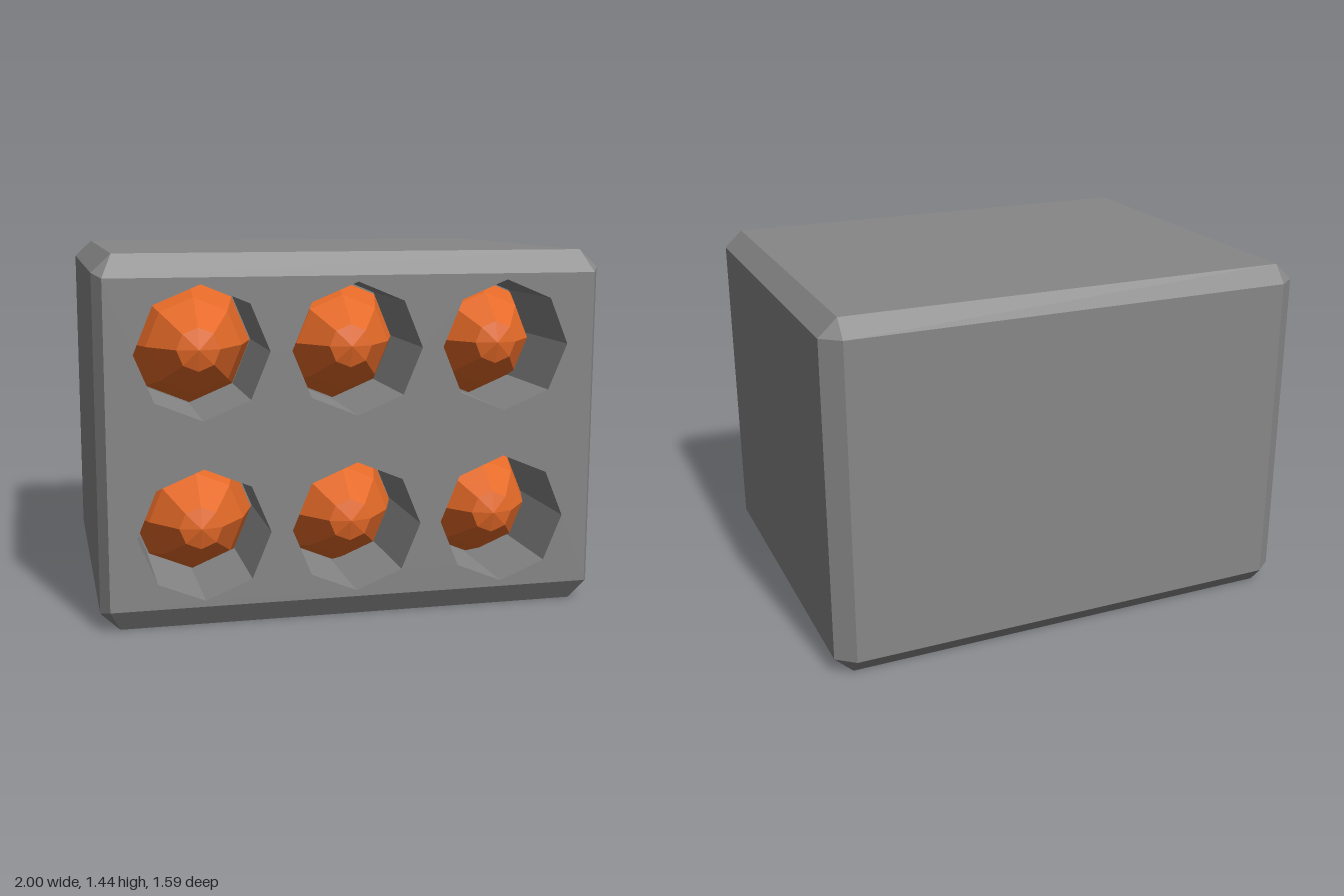
import * as THREE from 'three';

const grey = new THREE.MeshStandardMaterial({ color: 0x878787, flatShading: true });
const inner = new THREE.MeshStandardMaterial({ color: 0x878787, flatShading: true, side: THREE.DoubleSide });
const orange = new THREE.MeshStandardMaterial({ color: 0xe56a28, flatShading: true });

const MID_Y = 0.72, FRONT_Z = 0.793, BEVEL_Z = 0.733;
const HOLE_R = 0.258, HOLE_DEPTH = 0.45;

function add(parent, name, geometry, material, x = 0, y = 0, z = 0) {
  const mesh = new THREE.Mesh(geometry, material);
  mesh.name = name;
  mesh.position.set(x, y, z);
  parent.add(mesh);
}

// Rectangle with cut corners, counter-clockwise seen from the front
function ring(hx, hy, cx, cy, z) {
  return [
    [hx - cx, -hy], [hx, cy - hy], [hx, hy - cy], [hx - cx, hy],
    [cx - hx, hy], [-hx, hy - cy], [-hx, cy - hy], [cx - hx, -hy],
  ].map(([x, y]) => [x, y, z]);
}

// Skin between cross-sections running from back to front
function loft(rings) {
  const n = rings[0].length, index = [];
  for (let i = 0; i < rings.length - 1; i++) {
    for (let j = 0; j < n; j++) {
      const k = (j + 1) % n;
      const a = i * n + j, b = i * n + k, c = b + n, d = a + n;
      index.push(a, b, c, a, c, d);
    }
  }
  const g = new THREE.BufferGeometry();
  g.setAttribute('position', new THREE.Float32BufferAttribute(rings.flat(2), 3));
  g.setIndex(index);
  const flat = g.toNonIndexed();
  flat.computeVertexNormals();
  return flat;
}

export function createModel() {
  const model = new THREE.Group();
  model.name = 'launcherPod';

  // Bevelled casing and back
  add(model, 'casing', loft([
    ring(0.925, 0.65, 0, 0, -FRONT_Z),
    ring(1, 0.72, 0.075, 0.07, -BEVEL_Z),
    ring(1, 0.72, 0.075, 0.07, BEVEL_Z),
    ring(0.965, 0.632, 0, 0, FRONT_Z),
  ]), grey, 0, MID_Y, 0);
  add(model, 'backPanel', new THREE.PlaneGeometry(1.85, 1.3).rotateY(Math.PI), grey, 0, MID_Y, -FRONT_Z);

  // Tube positions: two rows of three
  const centres = [];
  for (const y of [0.37, 1.07]) for (const x of [-0.6, 0, 0.6]) centres.push([x, y]);

  // Front panel with octagonal openings
  const panel = new THREE.Shape([
    [-0.965, 0.088], [0.965, 0.088], [0.965, 1.352], [-0.965, 1.352],
  ].map(([x, y]) => new THREE.Vector2(x, y)));
  for (const [x, y] of centres) {
    const points = [];
    for (let i = 0; i < 8; i++) {
      const a = -i * Math.PI / 4;
      points.push(new THREE.Vector2(x + HOLE_R * Math.cos(a), y + HOLE_R * Math.sin(a)));
    }
    panel.holes.push(new THREE.Path(points));
  }
  add(model, 'frontPanel', new THREE.ShapeGeometry(panel), grey, 0, 0, FRONT_Z);

  // Recessed tubes, each holding a faceted, tapering nose
  const wall = new THREE.CylinderGeometry(HOLE_R, HOLE_R, HOLE_DEPTH, 8, 1, true).rotateX(Math.PI / 2);
  const floor = new THREE.CircleGeometry(HOLE_R, 8);
  const profile = [[0.25, 0], [0.25, 0.03], [0.19, 0.2], [0.085, 0.335], [0, 0.36]];
  const nose = new THREE.LatheGeometry(profile.map(([r, h]) => new THREE.Vector2(r, h)), 8).rotateX(Math.PI / 2);
  for (const [x, y] of centres) {
    const tube = new THREE.Group();
    tube.name = 'tube';
    tube.position.set(x, y, FRONT_Z - HOLE_DEPTH);
    add(tube, 'tubeWall', wall, inner, 0, 0, HOLE_DEPTH / 2);
    add(tube, 'tubeFloor', floor, grey);
    add(tube, 'nose', nose, orange);
    model.add(tube);
  }
  return model;
}
